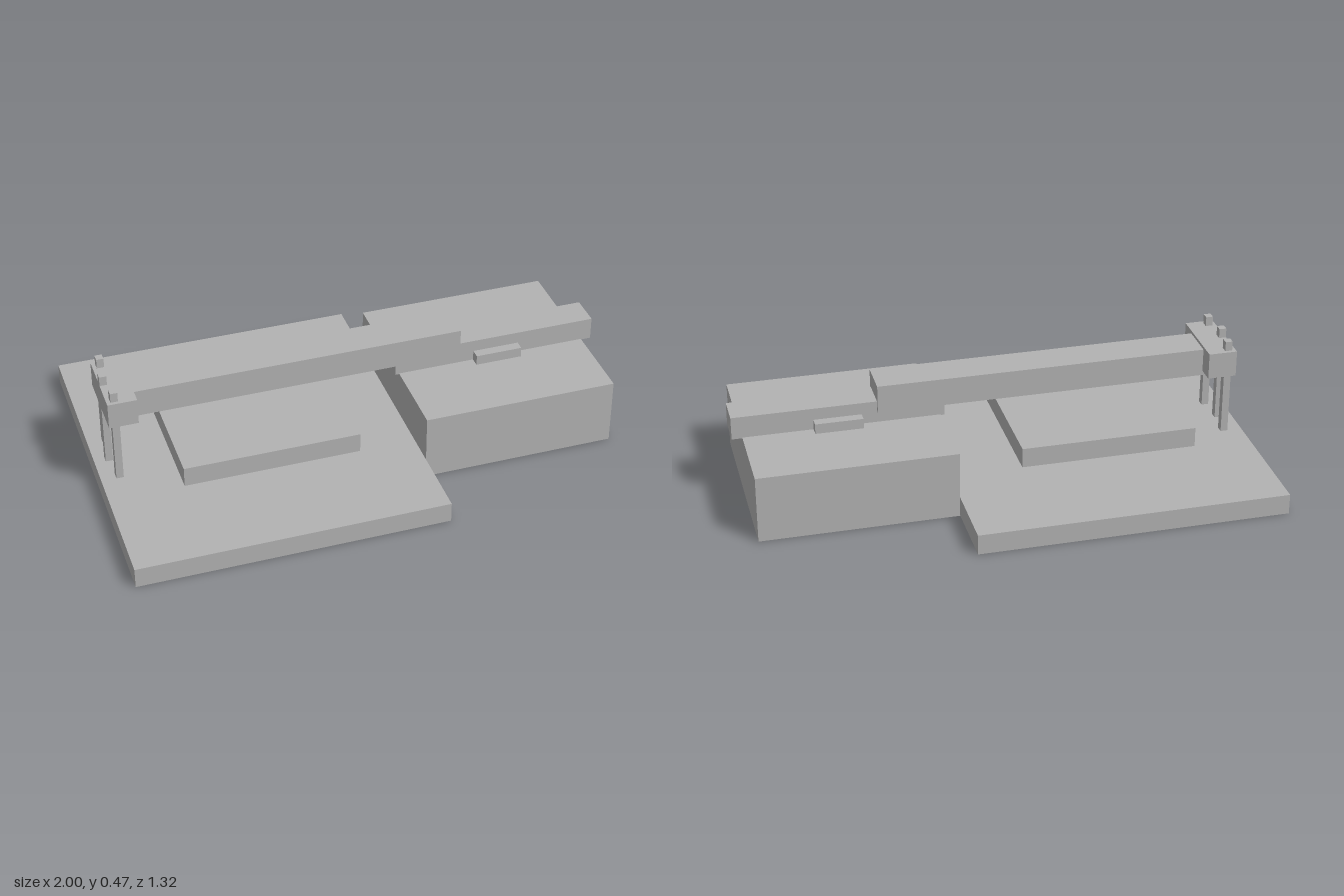
import * as THREE from 'three';

export function createModel() {
  const model = new THREE.Group();
  const grey = new THREE.MeshStandardMaterial({ color: 0xb2b2b2 });
  grey.name = 'plain grey';

  // Box given by its x and y extents and its z centre and half depth
  function box(name, x0, x1, y0, y1, halfDepth, z = 0) {
    const mesh = new THREE.Mesh(new THREE.BoxGeometry(x1 - x0, y1 - y0, halfDepth * 2), grey);
    mesh.name = name;
    mesh.position.set((x0 + x1) / 2, (y0 + y1) / 2, z);
    model.add(mesh);
  }

  // Base and rear housing
  box('basePlate', -1, 0.2, 0, 0.08, 0.66);
  box('housing', 0.2, 0.96, 0, 0.265, 0.38);

  // Slab hovering over the base
  box('floatingSlab', -0.73, -0.05, 0.152, 0.23, 0.34);

  // Arm with its rear bar and cross clip
  box('arm', -0.867, 0.445, 0.31, 0.42, 0.074);
  box('rearBar', 0.185, 1, 0.262, 0.352, 0.062);
  box('crossClip', 0.505, 0.69, 0.262, 0.305, 0.1);

  // Head carrying three upright pins
  box('head', -0.957, -0.845, 0.328, 0.432, 0.143);
  for (const [x, z] of [[-0.928, -0.114], [-0.943, 0], [-0.928, 0.114]]) {
    box('pin', x - 0.014, x + 0.014, 0.08, 0.47, 0.015, z);
  }
  return model;
}
